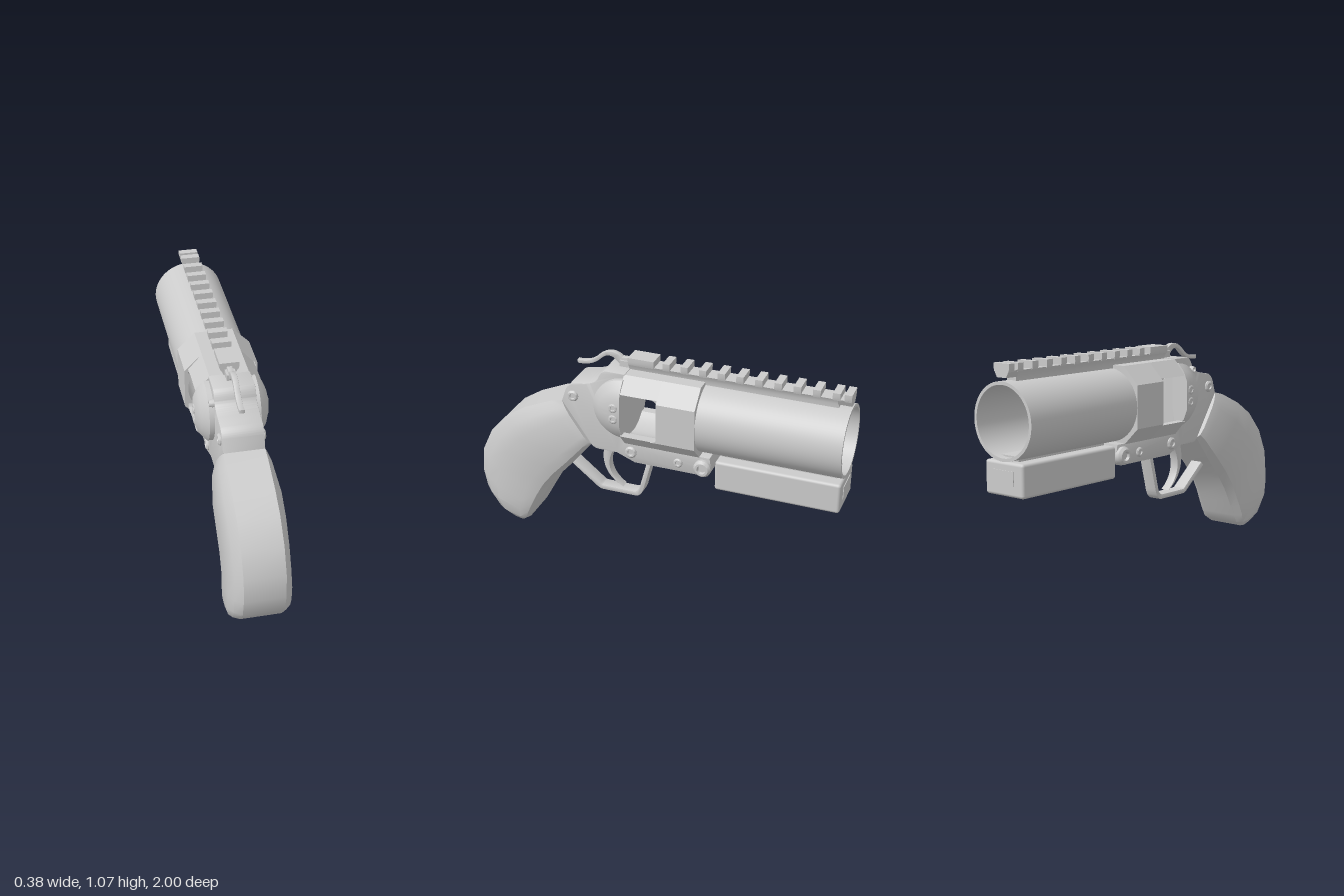
import * as THREE from 'three';
import { toCreasedNormals } from 'three/addons/utils/BufferGeometryUtils.js';
import { RoundedBoxGeometry } from 'three/addons/geometries/RoundedBoxGeometry.js';

const material = new THREE.MeshStandardMaterial({ color: 0xcccccc, side: THREE.DoubleSide });

function add(parent, name, geometry, x = 0, y = 0, z = 0) {
  const mesh = new THREE.Mesh(geometry, material);
  mesh.name = name;
  mesh.position.set(x, y, z);
  parent.add(mesh);
  return mesh;
}

const shapeOf = (points) => new THREE.Shape(points.map(([a, b]) => new THREE.Vector2(a, b)));

// Side profile in (z, y), extruded evenly to both sides in x
function sideExtrude(shape, halfWidth, bevel = 0) {
  const depth = 2 * (halfWidth - bevel);
  const g = new THREE.ExtrudeGeometry(shape, {
    depth, curveSegments: 16, bevelEnabled: bevel > 0, bevelSize: bevel,
    bevelThickness: bevel, bevelOffset: -bevel, bevelSegments: 2,
  });
  g.translate(0, 0, -depth / 2).rotateY(-Math.PI / 2);
  return toCreasedNormals(g, 0.5);
}

// Cross-section in (x, y), extruded from z0 up to z1
function lengthExtrude(shape, z0, z1) {
  const g = new THREE.ExtrudeGeometry(shape, { depth: z1 - z0, bevelEnabled: false, curveSegments: 32 });
  return toCreasedNormals(g.translate(0, 0, z0), 0.5);
}

// Grip: chamfered cross-sections between back and front edge points
function gripGeometry() {
  // back z, back y, front z, front y, half width
  const stations = [
    [0.505, 0.79, 0.345, 0.56, 0.125], [0.57, 0.775, 0.37, 0.53, 0.142],
    [0.72, 0.71, 0.46, 0.42, 0.158], [0.83, 0.64, 0.54, 0.33, 0.158],
    [0.93, 0.53, 0.6, 0.25, 0.156], [0.99, 0.4, 0.64, 0.18, 0.156],
    [1.0, 0.27, 0.67, 0.125, 0.16], [0.98, 0.17, 0.7, 0.07, 0.16],
    [0.92, 0.085, 0.725, 0.025, 0.15], [0.84, 0.02, 0.76, 0, 0.118],
  ];
  const half = [[0, 0], [0.14, 0.65], [0.32, 1], [0.78, 1], [0.93, 0.7], [1, 0]];
  const section = [...half.map((p) => [...p, 1]), ...half.slice().reverse().map((p) => [...p, -1])];
  const n = section.length, pos = [], index = [];
  for (const [bz, by, fz, fy, w] of stations) {
    for (const [t, k, side] of section) {
      const edge = t < 0.5 ? 0.104 : 0.1;
      pos.push(side * (edge + (w - edge) * k), by + (fy - by) * t, bz + (fz - bz) * t);
    }
  }
  for (let s = 0; s < stations.length - 1; s++) {
    for (let i = 0; i < n; i++) {
      const a = s * n + i, b = s * n + (i + 1) % n;
      index.push(a, a + n, b, b, a + n, b + n);
    }
  }
  const last = (stations.length - 1) * n;
  for (let i = 1; i < n - 1; i++) {
    index.push(0, i, i + 1, last, last + i + 1, last + i);
  }
  const g = new THREE.BufferGeometry();
  g.setAttribute('position', new THREE.Float32BufferAttribute(pos, 3));
  g.setIndex(index);
  return toCreasedNormals(g, 0.55);
}

// Domed screw head pointing along x
function screw(parent, side, x, y, z, r, height = 0.03) {
  const pts = [[0, 0], [r, 0], [r, height * 0.6], [r * 0.75, height], [r * 0.5, height], [r * 0.4, height * 0.6], [0, height * 0.6]];
  const g = new THREE.LatheGeometry(pts.map((p) => new THREE.Vector2(...p)), 20);
  g.rotateZ(-side * Math.PI / 2);
  add(parent, 'screw', toCreasedNormals(g, 0.5), side * x, y, z);
}

export function createModel() {
  const model = new THREE.Group();
  model.name = 'handheldLauncher';

  // Barrel tube
  const tube = [[0.172, 0.24], [0.188, 0.24], [0.188, 1], [0.172, 1], [0.172, 0.24]];
  const barrel = new THREE.LatheGeometry(tube.map((p) => new THREE.Vector2(...p)), 64).rotateX(-Math.PI / 2);
  add(model, 'barrel', toCreasedNormals(barrel, 0.5), 0, 0.798, 0);

  // Eight-sided chamber housing with a round bore
  const housing = shapeOf([[0.1, 1], [-0.1, 1], [-0.19, 0.91], [-0.19, 0.69], [-0.1, 0.6], [0.1, 0.6], [0.19, 0.69], [0.19, 0.91]]);
  housing.holes.push(new THREE.Path().absarc(0, 0.798, 0.172, 0, Math.PI * 2, true));
  add(model, 'chamberHousing', lengthExtrude(housing, -0.255, -0.05));

  // Straps above and below the open window
  const a0 = Math.asin(0.12 / 0.172);
  for (const s of [1, -1]) {
    const pts = [[-0.17, 0.12], [-0.1, 0.2], [0.1, 0.2], [0.17, 0.12]];
    for (let i = 0; i <= 10; i++) {
      const a = a0 + (Math.PI - 2 * a0) * i / 10;
      pts.push([0.172 * Math.cos(a), 0.172 * Math.sin(a)]);
    }
    const strap = shapeOf(pts.map(([x, y]) => [x, 0.8 + s * y]));
    add(model, s > 0 ? 'topStrap' : 'bottomStrap', lengthExtrude(strap, -0.05, 0.155));
    // Rounded window corners
    const fillet = new THREE.Shape().moveTo(-0.052, 0.8 + s * 0.122);
    fillet.lineTo(-0.01, 0.8 + s * 0.122).quadraticCurveTo(-0.05, 0.8 + s * 0.12, -0.052, 0.8 + s * 0.08);
    for (const x of [0.16, -0.16]) add(model, 'windowCorner', sideExtrude(fillet, 0.012), x);
  }

  // Rear frame and lower frame bar
  const rear = new THREE.Shape().moveTo(0.15, 1.003).lineTo(0.255, 1.003);
  rear.quadraticCurveTo(0.285, 0.995, 0.3, 0.95).quadraticCurveTo(0.32, 0.92, 0.38, 0.91);
  rear.lineTo(0.44, 0.9).quadraticCurveTo(0.475, 0.885, 0.485, 0.85).lineTo(0.505, 0.79);
  rear.lineTo(0.345, 0.56).quadraticCurveTo(0.33, 0.54, 0.3, 0.54).lineTo(0.2, 0.54);
  rear.lineTo(0.1, 0.5).lineTo(-0.28, 0.5).quadraticCurveTo(-0.32, 0.51, -0.32, 0.55);
  rear.lineTo(-0.31, 0.61).lineTo(0.15, 0.61).closePath();
  add(model, 'frame', sideExtrude(rear, 0.105, 0.004));

  // Half-round recoil shields on both sides
  const profile = [[0, 0.09], [0.165, 0.09], [0.165, 0.13], [0.125, 0.165], [0.075, 0.185], [0, 0.187]];
  for (const s of [1, -1]) {
    const shield = new THREE.Group();
    shield.name = s > 0 ? 'leftShield' : 'rightShield';
    shield.position.set(0, 0.815, 0.15);
    shield.rotation.z = s > 0 ? 0 : Math.PI;
    model.add(shield);
    const dome = new THREE.LatheGeometry(profile.map((p) => new THREE.Vector2(...p)), 32, -Math.PI / 2, Math.PI);
    add(shield, 'shieldDome', toCreasedNormals(dome.rotateZ(-Math.PI / 2), 0.4));
    const face = shapeOf([...profile.map(([r, x]) => [x, r]), ...profile.slice().reverse().map(([r, x]) => [x, -r])]);
    add(shield, 'shieldFace', new THREE.ShapeGeometry(face).rotateY(Math.PI).scale(-1, 1, 1));
    // Screws on shield and frame
    for (const y of [0.843, 0.78]) screw(model, s, 0.18, y, 0.185, 0.025, 0.01);
    for (const [z, y, r, h] of [[0.44, 0.83, 0.03, 0.018], [0.12, 0.56, 0.032, 0.018], [-0.14, 0.55, 0.025, 0.015], [-0.275, 0.55, 0.047, 0.035]]) {
      screw(model, s, 0.1, y, z, r, h);
    }
  }
  screw(model, -1, 0.09, 0.935, 0.285, 0.02, 0.04);

  // Under-barrel block with front latch
  add(model, 'underBarrelBlock', new RoundedBoxGeometry(0.25, 0.165, 0.653, 3, 0.015), 0, 0.5275, -0.67);
  add(model, 'blockNeck', new THREE.BoxGeometry(0.12, 0.06, 0.6), 0, 0.605, -0.66);
  add(model, 'blockLatch', new THREE.BoxGeometry(0.13, 0.07, 0.01), 0, 0.535, -0.995);

  // Top rail with evenly spaced teeth
  const base = shapeOf([[-0.03, 0.97], [0.03, 0.97], [0.03, 1.005], [0.045, 1.035], [-0.045, 1.035], [-0.03, 1.005]]);
  add(model, 'railBase', lengthExtrude(base, -0.935, 0.155));
  const upper = shapeOf([[-0.03, 1.003], [0.03, 1.003], [0.048, 1.037], [-0.048, 1.037]]);
  add(model, 'railTip', lengthExtrude(upper, -1, -0.93));
  const tooth = shapeOf([[-0.046, 1.03], [0.046, 1.03], [0.05, 1.045], [0.05, 1.07], [-0.05, 1.07], [-0.05, 1.045]]);
  add(model, 'railBlock', lengthExtrude(tooth, 0.015, 0.155));
  for (let i = 0; i < 10; i++) {
    const z = -0.032 - i * 0.097;
    add(model, 'railTooth', lengthExtrude(tooth, z - 0.038, z));
  }
  add(model, 'railEndTooth', lengthExtrude(tooth, -1, -0.963));

  // Curved hammer lever
  const hammer = new THREE.Shape().moveTo(0.14, 1.05).lineTo(0.2, 1.05);
  hammer.bezierCurveTo(0.25, 1.09, 0.3, 1.07, 0.34, 1.03).quadraticCurveTo(0.38, 0.99, 0.45, 0.995);
  hammer.lineTo(0.45, 0.975).quadraticCurveTo(0.37, 0.97, 0.32, 1.02);
  hammer.bezierCurveTo(0.28, 1.06, 0.25, 1.05, 0.22, 1.015).lineTo(0.14, 1.005).closePath();
  add(model, 'hammer', sideExtrude(hammer, 0.014, 0.003));
  add(model, 'hammerBase', new THREE.BoxGeometry(0.05, 0.04, 0.06), 0, 1.015, 0.18);

  // Crescent trigger
  const trigger = new THREE.Shape().moveTo(0.29, 0.55);
  trigger.bezierCurveTo(0.34, 0.45, 0.31, 0.33, 0.2, 0.285).bezierCurveTo(0.3, 0.36, 0.3, 0.45, 0.22, 0.55);
  add(model, 'trigger', sideExtrude(trigger, 0.025, 0.004));

  // Trigger guard strip
  const guard = new THREE.Shape().moveTo(0.025, 0.51).lineTo(0.075, 0.32);
  guard.quadraticCurveTo(0.09, 0.25, 0.13, 0.25).lineTo(0.31, 0.25).quadraticCurveTo(0.33, 0.25, 0.35, 0.265);
  guard.lineTo(0.52, 0.4).lineTo(0.5, 0.42).lineTo(0.33, 0.283).quadraticCurveTo(0.32, 0.275, 0.31, 0.275);
  guard.lineTo(0.14, 0.275).quadraticCurveTo(0.11, 0.275, 0.1, 0.32).lineTo(0.05, 0.51).closePath();
  add(model, 'triggerGuard', sideExtrude(guard, 0.035, 0.003));

  add(model, 'grip', gripGeometry());
  return model;
}
